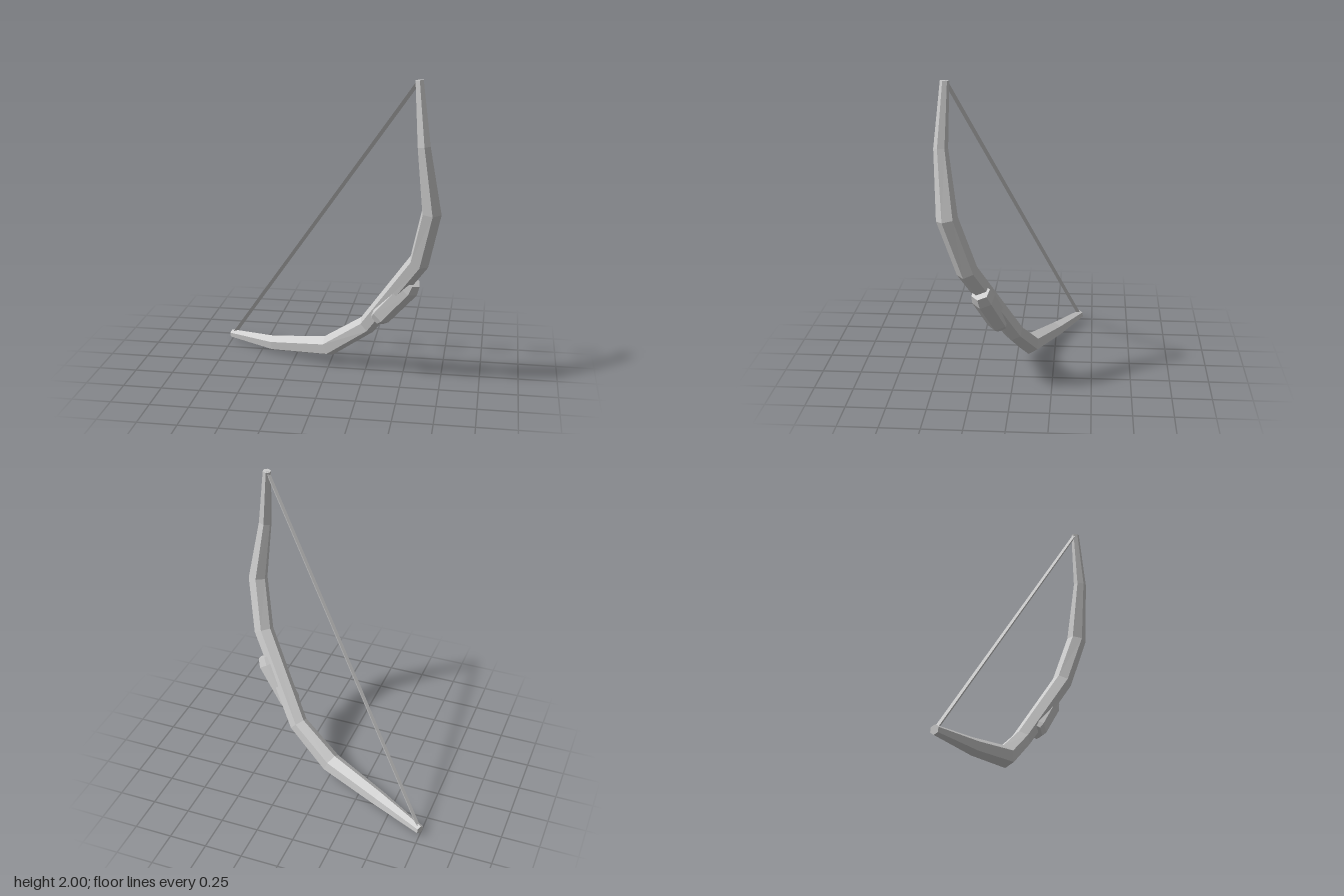
import * as THREE from 'three';

// Normal of the plane in which the bow bends
const PLANE = new THREE.Vector3(0.37, 0.115, -0.92).normalize();

// Faceted, capped tube through stations [x, y, z, radius], with mitred rings
function facetedTube(stations, sides) {
  const centres = stations.map(([x, y, z]) => new THREE.Vector3(x, y, z));
  const last = centres.length - 1;
  const rings = centres.map((c, i) => {
    const t = new THREE.Vector3();
    if (i > 0) t.add(c.clone().sub(centres[i - 1]).normalize());
    if (i < last) t.add(centres[i + 1].clone().sub(c).normalize());
    t.normalize();
    const u = PLANE.clone().cross(t).normalize();
    const v = t.clone().cross(u);
    return Array.from({ length: sides }, (_, j) => {
      const a = (j / sides) * Math.PI * 2;
      return c.clone()
        .addScaledVector(u, stations[i][3] * Math.cos(a))
        .addScaledVector(v, stations[i][3] * Math.sin(a));
    });
  });
  const points = [];
  for (let j = 0; j < sides; j++) {
    const k = (j + 1) % sides;
    for (let i = 0; i < last; i++) {
      const [a, b, c, d] = [rings[i][j], rings[i][k], rings[i + 1][k], rings[i + 1][j]];
      points.push(a, b, c, a, c, d);
    }
    points.push(centres[0], rings[0][k], rings[0][j]);
    points.push(centres[last], rings[last][j], rings[last][k]);
  }
  const geometry = new THREE.BufferGeometry().setFromPoints(points);
  geometry.computeVertexNormals();
  return geometry;
}

export function createModel() {
  const bow = new THREE.Group();
  bow.name = 'bow';
  const grey = new THREE.MeshStandardMaterial({ color: 0xcccccc, flatShading: true });
  grey.name = 'light grey';

  const add = (name, stations, sides) => {
    const mesh = new THREE.Mesh(facetedTube(stations, sides), grey);
    mesh.name = name;
    bow.add(mesh);
  };

  // Curved stave, from the lower tip to the upper tip
  add('stave', [
    [-0.75, 0.042, -0.41, 0.03],
    [-0.41, 0.058, -0.24, 0.054],
    [-0.01, 0.125, -0.085, 0.07],
    [0.26, 0.325, 0.0, 0.062],
    [0.61, 0.855, 0.255, 0.066],
    [0.685, 1.2, 0.36, 0.065],
    [0.632, 1.61, 0.395, 0.043],
    [0.595, 1.997, 0.37, 0.027],
  ], 6);

  // Thicker hand grip, set a little outside the stave
  add('grip', [
    [0.335, 0.405, 0.08, 0.055],
    [0.36, 0.435, 0.092, 0.07],
    [0.535, 0.65, 0.165, 0.074],
    [0.562, 0.7, 0.18, 0.06],
  ], 6);

  // Straight string between the tips
  add('string', [
    [-0.74, 0.045, -0.405, 0.014],
    [0.592, 1.993, 0.367, 0.014],
  ], 3);

  return bow;
}
